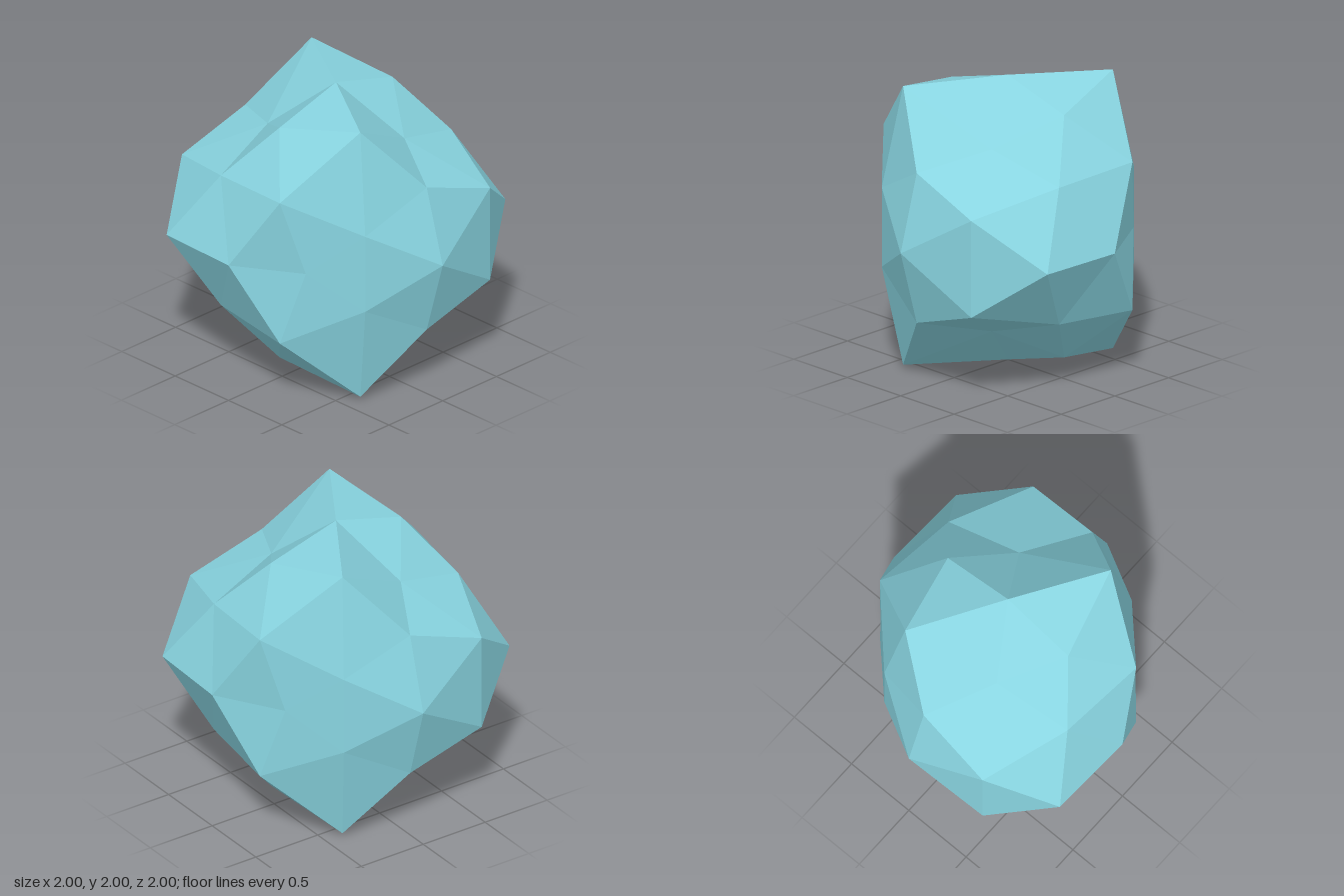
import * as THREE from 'three';

// Bulge or dent of each ring of vertices, keyed by its height on the unit sphere
const BUMPS = { '0.0': 0.148, '0.3': 0.1, '0.5': -0.04, '0.8': -0.21 };

// Faceted boulder: a subdivided icosahedron whose opposite quadrants swell and sink
function makeRockGeometry() {
  const geometry = new THREE.IcosahedronGeometry(1, 1);
  const position = geometry.attributes.position;
  const v = new THREE.Vector3();
  for (let i = 0; i < position.count; i++) {
    v.fromBufferAttribute(position, i).normalize();
    const xz = v.x * v.z;
    const quadrant = Math.abs(xz) < 0.01 ? 0 : Math.sign(xz);
    const bump = BUMPS[Math.abs(v.y).toFixed(1)] ?? 0;
    v.multiplyScalar(1 + quadrant * bump);
    position.setXYZ(i, v.x, v.y, v.z);
  }
  geometry.computeVertexNormals();
  return geometry;
}

export function createModel() {
  const paleBlue = new THREE.MeshStandardMaterial({ color: 0x88d4e0, flatShading: true });
  paleBlue.name = 'paleBlue';

  const rock = new THREE.Mesh(makeRockGeometry(), paleBlue);
  rock.name = 'rock';
  rock.position.y = 1;

  const model = new THREE.Group();
  model.name = 'boulder';
  model.add(rock);
  return model;
}
